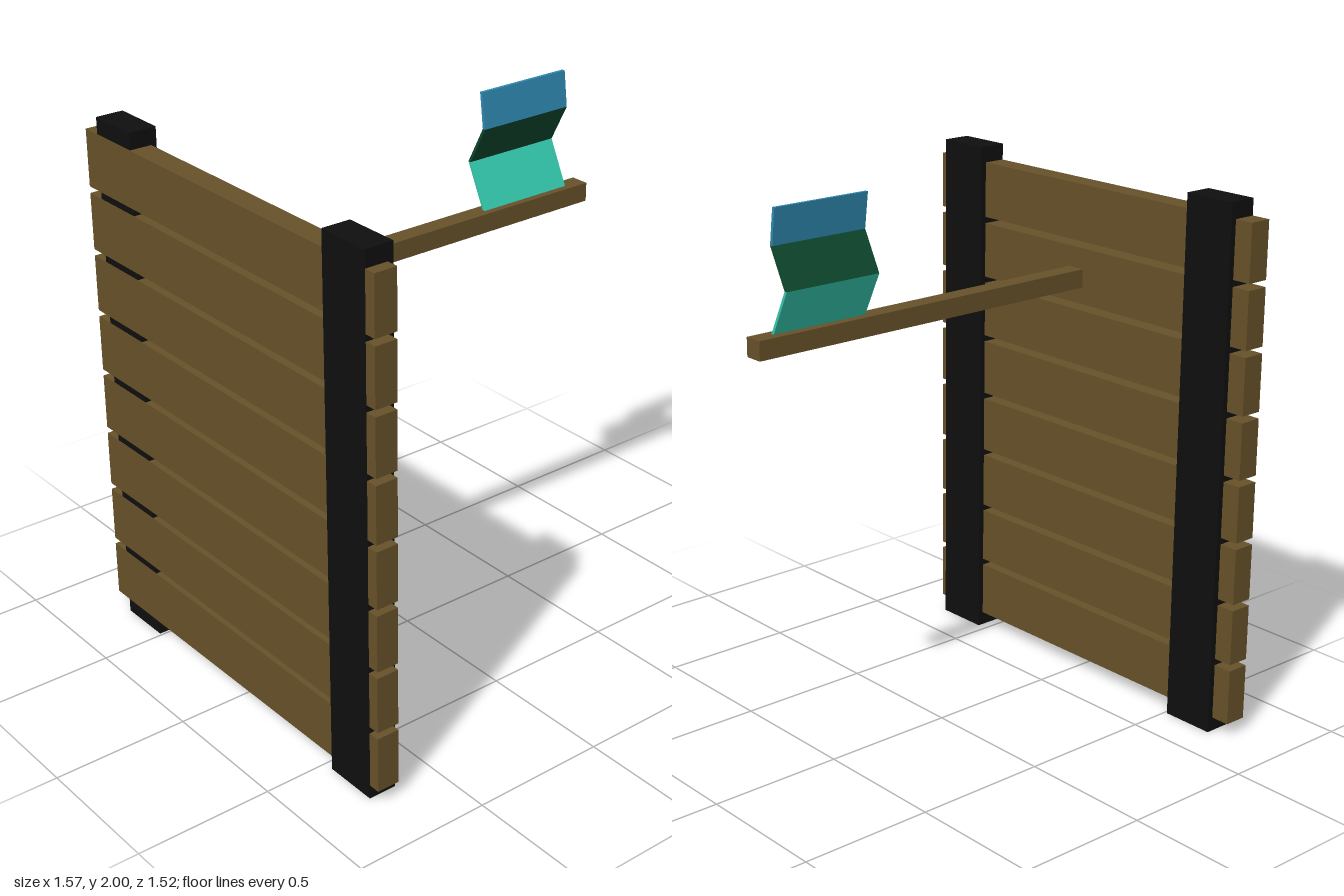
import * as THREE from 'three';

export function createModel() {
  const model = new THREE.Group();
  const mat = (name, color) => {
    const m = new THREE.MeshStandardMaterial({ color });
    m.name = name;
    return m;
  };
  const wood = mat('brown wood', 0x665129);
  const black = mat('black post', 0x0f0f0f);
  const teal = mat('teal', 0x35c9ae);
  const green = mat('dark green', 0x0d472d);
  const blue = mat('blue', 0x2f88b0);

  // Box given by its minimum and maximum corners
  const box = (name, material, [x0, y0, z0], [x1, y1, z1]) => {
    const mesh = new THREE.Mesh(new THREE.BoxGeometry(x1 - x0, y1 - y0, z1 - z0), material);
    mesh.position.set((x0 + x1) / 2, (y0 + y1) / 2, (z0 + z1) / 2);
    mesh.name = name;
    model.add(mesh);
  };

  // Eight horizontal planks
  for (let i = 0; i < 8; i++) {
    const y = 0.052 + i * 0.2325;
    box(`plank${i + 1}`, wood, [-0.785, y, 0.677], [0.785, y + 0.208, 0.761]);
  }

  // Upright posts, one just behind and one just ahead of the plank faces
  box('rightPost', black, [-0.713, 0, 0.656], [-0.51, 1.948, 0.76]);
  box('leftPost', black, [0.537, 0, 0.656], [0.742, 1.948, 0.762]);

  // Arm reaching out behind the planks
  box('arm', wood, [0.006, 1.51, -0.762], [0.075, 1.578, 0.68]);

  // Folded flag: one slanted panel per colour, with mitred joints
  const fold = [[0.045, 1.575], [-0.034, 1.735], [0.038, 1.872], [0.021, 2]];
  const half = 0.006;
  [teal, green, blue].forEach((material, i) => {
    const [[xa, ya], [xb, yb]] = [fold[i], fold[i + 1]];
    const shape = new THREE.Shape();
    shape.moveTo(xa - half, ya);
    shape.lineTo(xa + half, ya);
    shape.lineTo(xb + half, yb);
    shape.lineTo(xb - half, yb);
    const geometry = new THREE.ExtrudeGeometry(shape, { depth: 0.378, bevelEnabled: false });
    const panel = new THREE.Mesh(geometry, material);
    panel.position.z = -0.682;
    panel.name = ['lowerFlagPanel', 'middleFlagPanel', 'upperFlagPanel'][i];
    model.add(panel);
  });

  return model;
}
